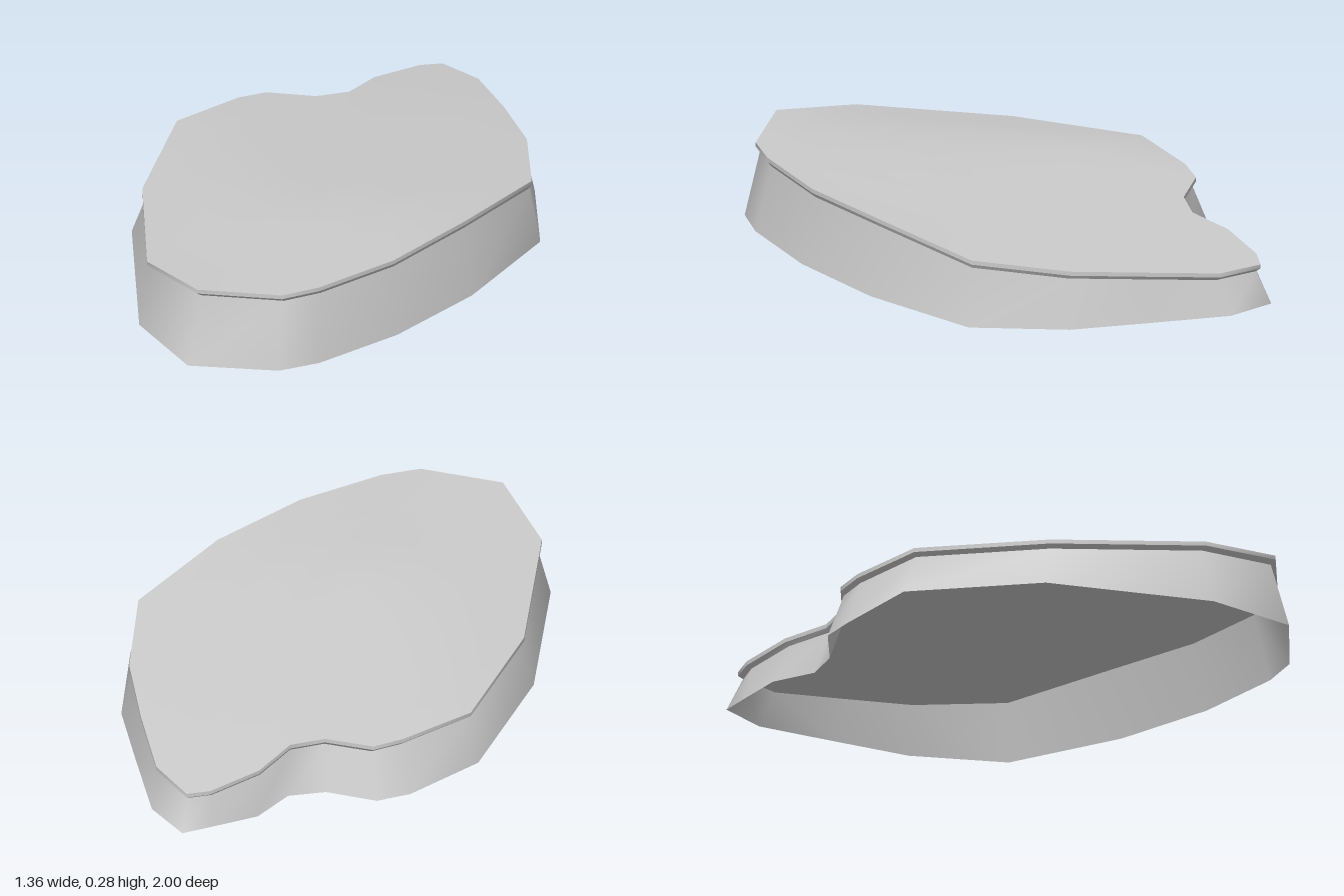
import * as THREE from 'three';

// Plan outlines as [x, z], clockwise seen from above
const BASE = [[0.11, -1], [0.26, -0.91], [0.42, -0.67], [0.57, -0.44], [0.675, -0.11], [0.54, 0.3], [0.36, 0.62],
  [0.15, 0.87], [0.03, 0.955], [-0.28, 1], [-0.51, 0.775], [-0.68, 0.22], [-0.68, -0.27], [-0.52, -0.49],
  [-0.43, -0.57], [-0.25, -0.59], [-0.14, -0.66], [-0.09, -0.81], [0.03, -0.925]];
const RIM = [[0.11, -0.96], [0.26, -0.87], [0.405, -0.66], [0.545, -0.43], [0.645, -0.11], [0.51, 0.27], [0.34, 0.59],
  [0.14, 0.83], [0.03, 0.915], [-0.26, 0.95], [-0.49, 0.745], [-0.64, 0.23], [-0.64, -0.24], [-0.48, -0.46],
  [-0.4, -0.53], [-0.23, -0.55], [-0.13, -0.62], [-0.08, -0.77], [0.04, -0.92]];
const CENTER = [0.15, 0];

// Height of the top: level at the front, falling to the back and the right-hand flank
function topHeight(x, z) {
  const back = z > -0.62 ? 0.275 - 0.1 * (0.28 - z) : 0.185 - 0.136 * (-0.62 - z);
  const flank = 0.275 - 0.17 * (-0.26 - x);
  return Math.min(0.275, back, flank);
}

// A copy of the rim shrunk towards the centre and lowered by drop
function rimRing(scale, drop) {
  return RIM.map(([px, pz]) => {
    const x = CENTER[0] + (px - CENTER[0]) * scale;
    const z = CENTER[1] + (pz - CENTER[1]) * scale;
    return [x, topHeight(x, z) - drop, z];
  });
}

// Smooth surface through a list of closed rings
function loft(name, rings, material) {
  const n = RIM.length;
  const index = [];
  for (let r = 0; r < rings.length - 1; r++) {
    for (let i = 0; i < n; i++) {
      const a = r * n + i, b = r * n + (i + 1) % n;
      index.push(b, a, a + n, b, a + n, b + n);
    }
  }
  const geometry = new THREE.BufferGeometry();
  geometry.setAttribute('position', new THREE.Float32BufferAttribute(rings.flat(2), 3));
  geometry.setIndex(index);
  geometry.computeVertexNormals();
  const mesh = new THREE.Mesh(geometry, material);
  mesh.name = name;
  return mesh;
}

export function createModel() {
  const material = new THREE.MeshStandardMaterial({ color: 0xcccccc, side: THREE.DoubleSide });
  const model = new THREE.Group();
  model.name = 'shell';

  const top = rimRing(1, 0);
  const edge = rimRing(1, 0.015);
  const neck = rimRing(0.982, 0.03);
  // The base lifts slightly along the right-hand flank
  const base = BASE.map(([x, z]) => [x, x < -0.6 ? 0.03 : 0, z]);
  const scales = [0.85, 0.7, 0.5, 0.3, 0];

  // Top plate with its thin edge, undercut and underside
  const plate = new THREE.Group();
  plate.name = 'topPlate';
  plate.add(
    loft('topSurface', [top, ...scales.map((s) => rimRing(s, 0))], material),
    loft('plateEdge', [edge, top], material),
    loft('plateUndercut', [neck, edge], material),
    loft('plateUnderside', [...scales.map((s) => rimRing(s, 0.03)).reverse(), neck], material),
  );

  // Flared skirt, open at the bottom
  model.add(plate, loft('skirtWall', [base, neck], material));
  return model;
}
